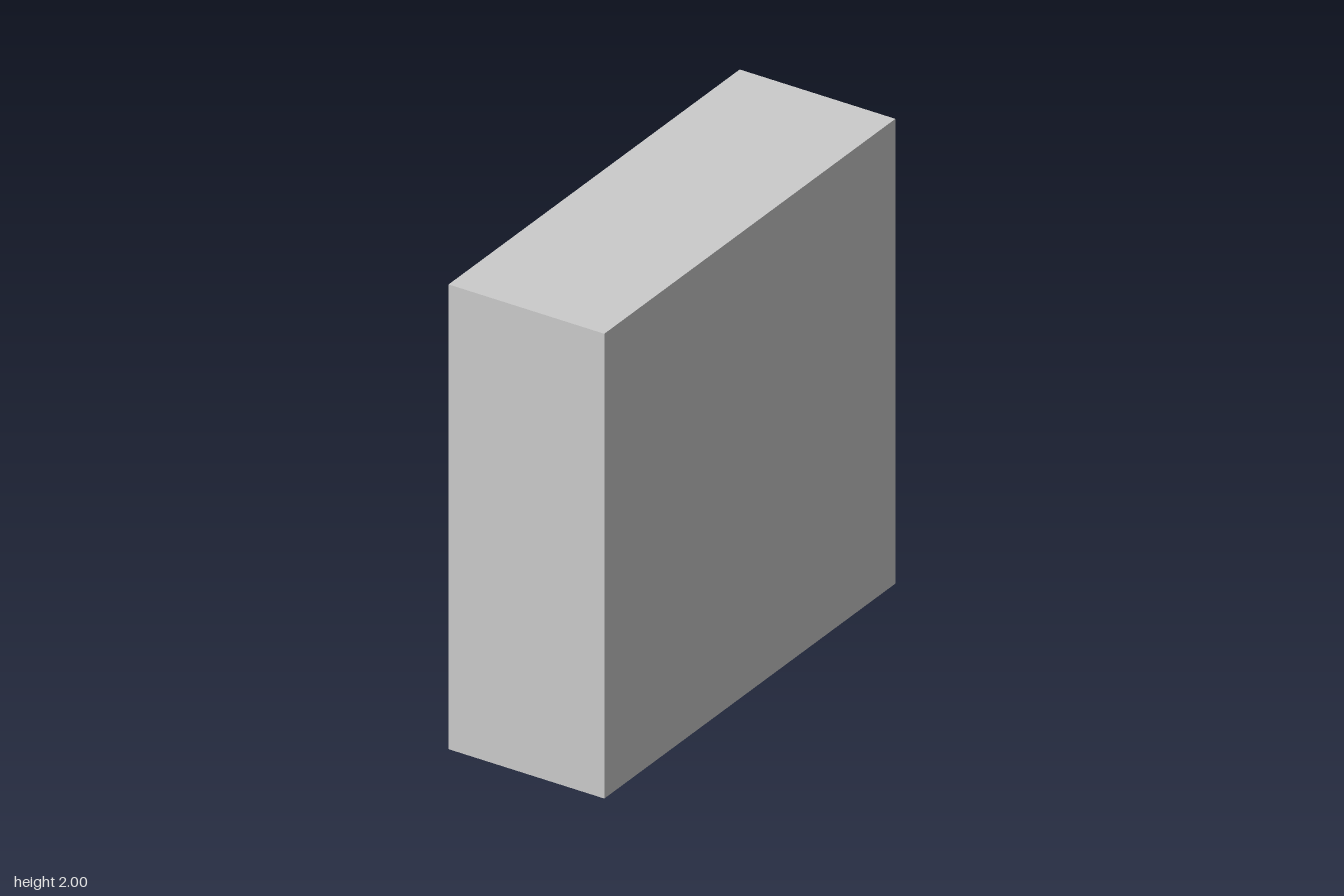
import * as THREE from 'three';

export function createModel() {
  const group = new THREE.Group();
  const material = new THREE.MeshStandardMaterial({ color: 0xcccccc, flatShading: true });

  // Main block
  const inner = -0.328, outer = 0.373;
  const block = new THREE.Mesh(new THREE.BoxGeometry(outer - inner, 2, 2), material);
  block.name = 'block';
  block.position.set((inner + outer) / 2, 1, 0);
  group.add(block);

  // Triangular foot: base edge at y = baseY, tip at y = tipY, raised from the -x face
  function addFoot(name, z, baseY, tipY) {
    const half = 0.225;
    const shape = new THREE.Shape([
      new THREE.Vector2(z - half, baseY),
      new THREE.Vector2(z + half, baseY),
      new THREE.Vector2(z, tipY),
    ]);
    const geometry = new THREE.ExtrudeGeometry(shape, { depth: 0.045, bevelEnabled: false });
    geometry.rotateY(-Math.PI / 2); // shape x runs along z, depth along -x
    const foot = new THREE.Mesh(geometry, material);
    foot.name = name;
    foot.position.x = inner;
    group.add(foot);
  }

  // Four feet, tips pointing to mid-height
  for (const [side, z] of [['Back', -0.544], ['Front', 0.564]]) {
    addFoot('upper' + side + 'Foot', z, 1.803, 1.477);
    addFoot('lower' + side + 'Foot', z, 0.208, 0.534);
  }
  return group;
}
